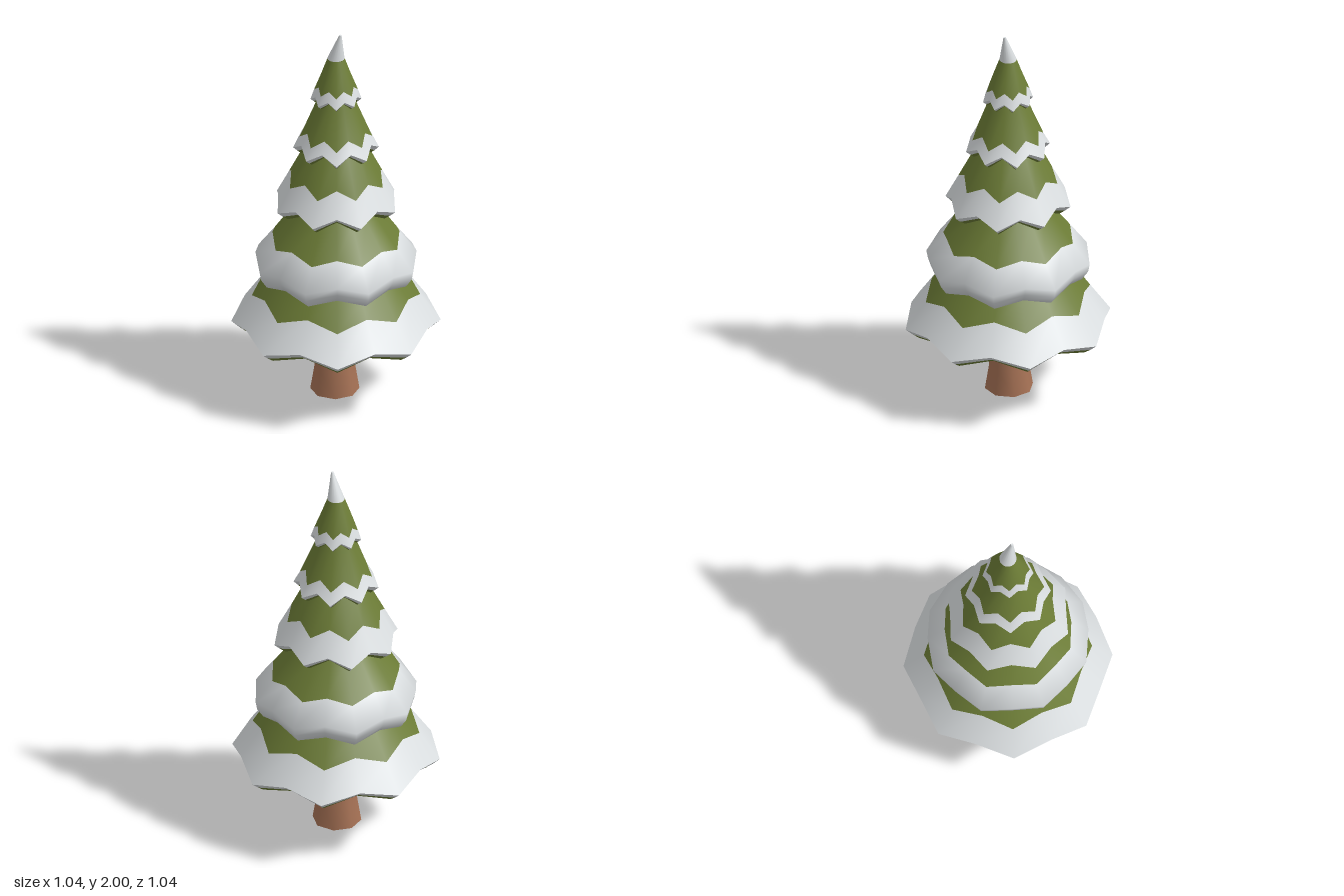
import * as THREE from 'three';
import { toCreasedNormals } from 'three/addons/utils/BufferGeometryUtils.js';

const SIDES = 16; // eight drooping tips with eight notches between them
const HALF = Math.PI / 8; // turns the tips by half a step
const GREEN = 0, SNOW = 1;

const makeMaterial = (name, color) => {
  const material = new THREE.MeshStandardMaterial({ color });
  material.name = name;
  return material;
};

// Rim cross-sections as offsets from the outer edge: a cut edge and a rounded one
const cutLip = (s) => [[-0.035 * s, -0.03 * s], [-0.07 * s, -0.055 * s]];
const roundLip = [[-0.008, -0.04], [-0.038, -0.085], [-0.073, -0.08]];

// A hollow skirt: top, neck, snow line and rim as [radius, y], then the lip and the inside.
// Below the neck, every second corner drops by "droop" and moves out by "spread" times that.
function skirtGeometry({ top, neck, snowLine, rim, lip, droop, spread, turn, crease }) {
  const lipRings = lip.map(([dr, dy]) => [rim[0] + dr, rim[1] + dy]);
  const inside = [top[0] * 0.4, neck[1]];
  const rings = [top, neck, snowLine, rim, ...lipRings, inside];
  const last = rings.length - 1;
  const position = [], index = [];
  const geometry = new THREE.BufferGeometry();

  rings.forEach(([radius, y], k) => {
    for (let i = 0; i < SIDES; i++) {
      const drop = i % 2 === 0 && k > 1 && k < last ? droop : 0;
      const angle = (i / SIDES) * Math.PI * 2 + turn;
      const r = radius + drop * spread;
      position.push(Math.cos(angle) * r, y - drop, Math.sin(angle) * r);
    }
  });

  for (let k = 0; k < last; k++) {
    // Snow covers the band from the snow line to the middle of the lip
    const snowy = k >= 2 && k < last - 2;
    geometry.addGroup(index.length, SIDES * 6, snowy ? SNOW : GREEN);
    for (let i = 0; i < SIDES; i++) {
      const j = (i + 1) % SIDES;
      const u = k * SIDES, l = u + SIDES;
      index.push(u + i, u + j, l + j, u + i, l + j, l + i);
    }
  }
  geometry.setAttribute('position', new THREE.Float32BufferAttribute(position, 3));
  geometry.setIndex(index);
  return toCreasedNormals(geometry, crease);
}

export function createModel() {
  const group = new THREE.Group();
  const green = makeMaterial('needle green', 0x6c7c36);
  const snow = makeMaterial('snow white', 0xdbdfe1);
  const bark = makeMaterial('bark brown', 0xa87356);
  green.side = THREE.DoubleSide;
  bark.side = THREE.DoubleSide;

  const add = (name, geometry, material) => {
    const mesh = new THREE.Mesh(geometry, material);
    mesh.name = name;
    group.add(mesh);
    return mesh;
  };

  // Five skirts of branches, widest first
  const skirts = {
    bottomBranches: {
      top: [0.22, 0.8], neck: [0.325, 0.66], snowLine: [0.385, 0.575], rim: [0.487, 0.43],
      lip: cutLip(1), droop: 0.047, spread: 0.7, turn: 0, crease: 0.7,
    },
    lowerBranches: {
      top: [0.14, 1.12], neck: [0.205, 1.02], snowLine: [0.315, 0.885], rim: [0.4, 0.772],
      lip: roundLip, droop: 0.04, spread: 0.3, turn: HALF, crease: 1.2,
    },
    middleBranches: {
      top: [0.09, 1.47], neck: [0.152, 1.37], snowLine: [0.222, 1.228], rim: [0.288, 1.102],
      lip: cutLip(0.8), droop: 0.05, spread: 0.55, turn: HALF, crease: 0.7,
    },
    upperBranches: {
      top: [0.06, 1.72], neck: [0.102, 1.61], snowLine: [0.155, 1.467], rim: [0.188, 1.405],
      lip: cutLip(0.65), droop: 0.046, spread: 0.55, turn: 0, crease: 0.7,
    },
    crownBranches: {
      top: [0.043, 1.86], neck: [0.068, 1.79], snowLine: [0.094, 1.715], rim: [0.112, 1.662],
      lip: cutLip(0.45), droop: 0.03, spread: 0.5, turn: 0, crease: 0.7,
    },
  };
  for (const [name, skirt] of Object.entries(skirts)) {
    add(name, skirtGeometry(skirt), [green, snow]);
  }

  // Snowy tip leaning towards +x
  const tip = new THREE.CylinderGeometry(0.006, 0.043, 0.14, SIDES);
  tip.applyMatrix4(new THREE.Matrix4().makeShear(0, 0, 0.22, 0, 0, 0));
  add('snowTip', tip, snow).position.set(0.015, 1.93, 0);

  // Trunk, a flared tube open at the foot
  const profile = [[0.122, 0], [0.101, 0.13], [0.088, 0.36], [0.07, 0.74]]
    .map(([r, y]) => new THREE.Vector2(r, y));
  const trunk = toCreasedNormals(new THREE.LatheGeometry(profile, 8), 0.9);
  add('trunk', trunk, bark).position.x = -0.008;

  return group;
}
